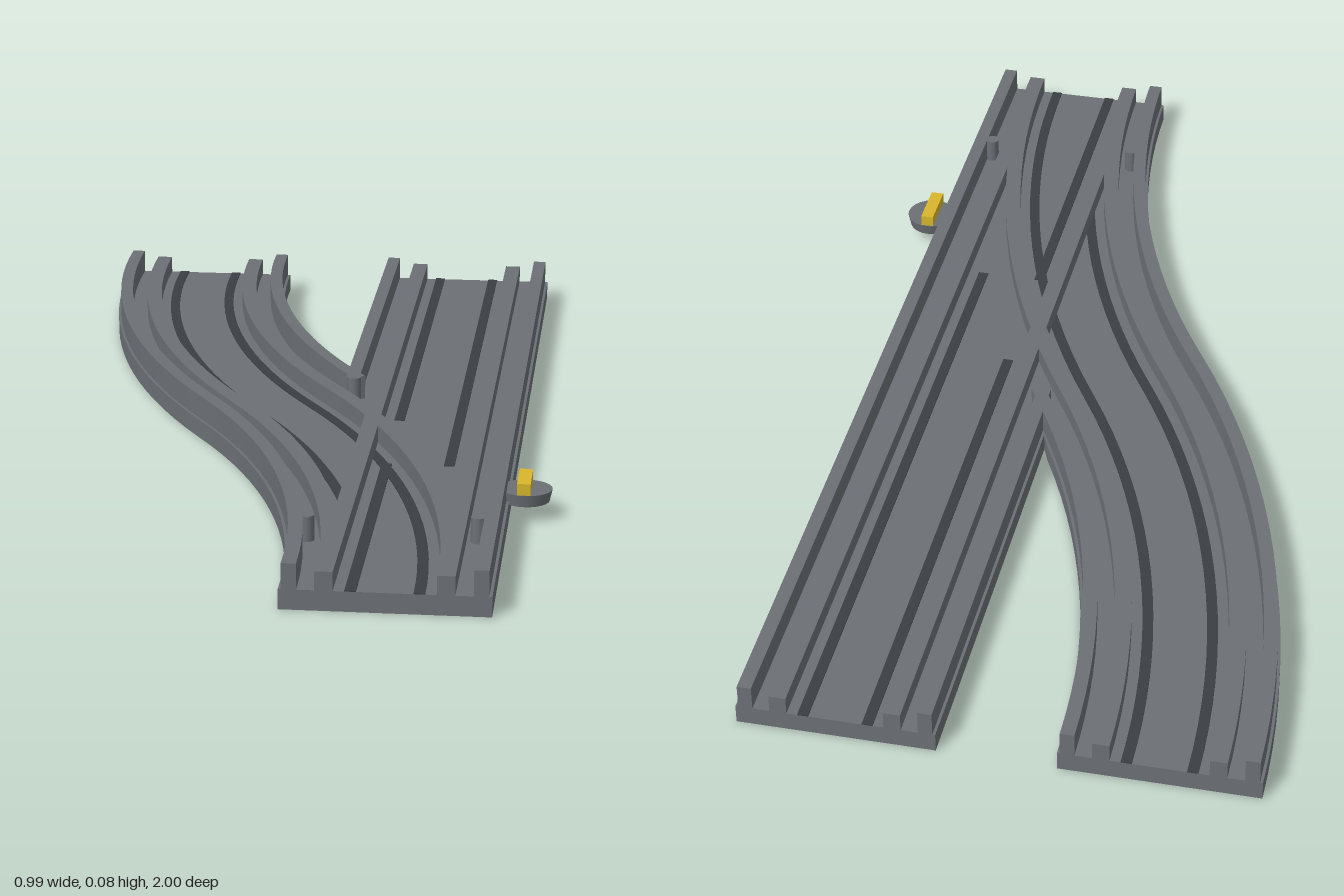
import * as THREE from 'three';

const FLOOR = 0.035, WALL_TOP = 0.08, RAIL_TOP = 0.068;
const START_X = 0.24, HALF = 0.175;
// Two mirrored arcs form the S-shaped branch
const SHIFT = 0.28;
const THETA = 2 * Math.atan(SHIFT);
const RADIUS = 1 / Math.sin(THETA);

// Point on a route at centre-line z, moved sideways by offset (+x side positive)
const straight = (z, offset) => [START_X + offset, z];
const branch = (z, offset) => {
  const a = Math.asin((1 - Math.abs(z)) / RADIUS);
  const bend = RADIUS * (1 - Math.cos(a));
  const x = z >= 0 ? START_X - bend : START_X - 2 * SHIFT + bend;
  return [x + offset * Math.cos(a), z - offset * Math.sin(a)];
};

// Sampled line along a route
function edge(route, offset, z0, z1) {
  const n = route === straight ? 1 : Math.max(2, Math.ceil(Math.abs(z1 - z0) * 18));
  return Array.from({ length: n + 1 }, (_, i) => route(z0 + (z1 - z0) * i / n, offset));
}

// Flat outline in x and z raised from y0 to y1
function slab(points, y0, y1) {
  const shape = new THREE.Shape(points.map(([x, z]) => new THREE.Vector2(x, -z)));
  const g = new THREE.ExtrudeGeometry(shape, { depth: y1 - y0, bevelEnabled: false });
  return g.rotateX(-Math.PI / 2).translate(0, y0, 0);
}

export function createModel() {
  const group = new THREE.Group();
  const grey = new THREE.MeshStandardMaterial({ name: 'trackGrey', color: 0x6c7075 });
  const dark = new THREE.MeshStandardMaterial({ name: 'stripDark', color: 0x3b3f43 });
  const yellow = new THREE.MeshStandardMaterial({ name: 'leverYellow', color: 0xd8b62a });

  const add = (name, geometry, material) => {
    const mesh = new THREE.Mesh(geometry, material);
    mesh.name = name;
    group.add(mesh);
    return mesh;
  };
  const sweep = (name, route, o0, o1, z0, z1, y0, y1, material) =>
    add(name, slab([...edge(route, o0, z0, z1), ...edge(route, o1, z1, z0)], y0, y1), material);

  // Forked base plate
  const inner = edge(branch, HALF, -1, 0).filter(([x]) => x < START_X - HALF - 0.005);
  const crotchZ = inner[inner.length - 1][1] + 0.03;
  add('basePlate', slab([
    ...edge(branch, -HALF, 1, -1),
    ...inner,
    [START_X - HALF, crotchZ], [START_X - HALF, -1],
    [START_X + HALF, -1], [START_X + HALF, 1],
  ], 0, FLOOR), grey);

  // Outer walls; the two inside the fork stop at the crossing
  sweep('straightLeftWall', straight, 0.145, 0.17, -1, 1, FLOOR, WALL_TOP, grey);
  sweep('straightRightWall', straight, -0.17, -0.145, -1, -0.08, FLOOR, WALL_TOP, grey);
  sweep('branchRightWall', branch, -0.17, -0.145, -1, 1, FLOOR, WALL_TOP, grey);
  sweep('branchLeftWall', branch, 0.145, 0.17, -1, 0, FLOOR, WALL_TOP, grey);

  // Inner rails of both routes, crossing in the middle
  for (const [name, route] of [['straight', straight], ['branch', branch]]) {
    sweep(name + 'RightRail', route, -0.115, -0.085, -1, 1, FLOOR, RAIL_TOP, grey);
    sweep(name + 'LeftRail', route, 0.085, 0.115, -1, 1, FLOOR, RAIL_TOP, grey);
  }

  // Dark strips on the channel floor
  const strips = [
    ['straightRightStrip', straight, -1, -1, 0.05],
    ['entryRightStrip', straight, -1, 0.32, 1],
    ['straightLeftStrip', straight, 1, -1, 0.32],
    ['branchRightStrip', branch, -1, -1, 0.6],
    ['branchLeftStrip', branch, 1, -1, 1],
  ];
  for (const [name, route, side, z0, z1] of strips) {
    const offsets = [side * 0.047, side * 0.066].sort((a, b) => a - b);
    sweep(name, route, ...offsets, z0, z1, FLOOR, FLOOR + 0.002, dark);
  }

  // Small guide posts on the walls
  for (const [x, z] of [[0.375, 0.73], [0.085, 0.75], [0.085, -0.08]]) {
    const post = new THREE.CylinderGeometry(0.013, 0.013, WALL_TOP - FLOOR, 12);
    add('guidePost', post, grey).position.set(x, (WALL_TOP + FLOOR) / 2, z);
  }

  // Switch knob with its yellow grip
  add('switchDisc', new THREE.CylinderGeometry(0.047, 0.042, 0.022, 24), grey)
    .position.set(0.443, 0.041, 0.48);
  add('switchGrip', new THREE.BoxGeometry(0.024, 0.021, 0.088), yellow)
    .position.set(0.441, 0.0625, 0.48);

  return group;
}
